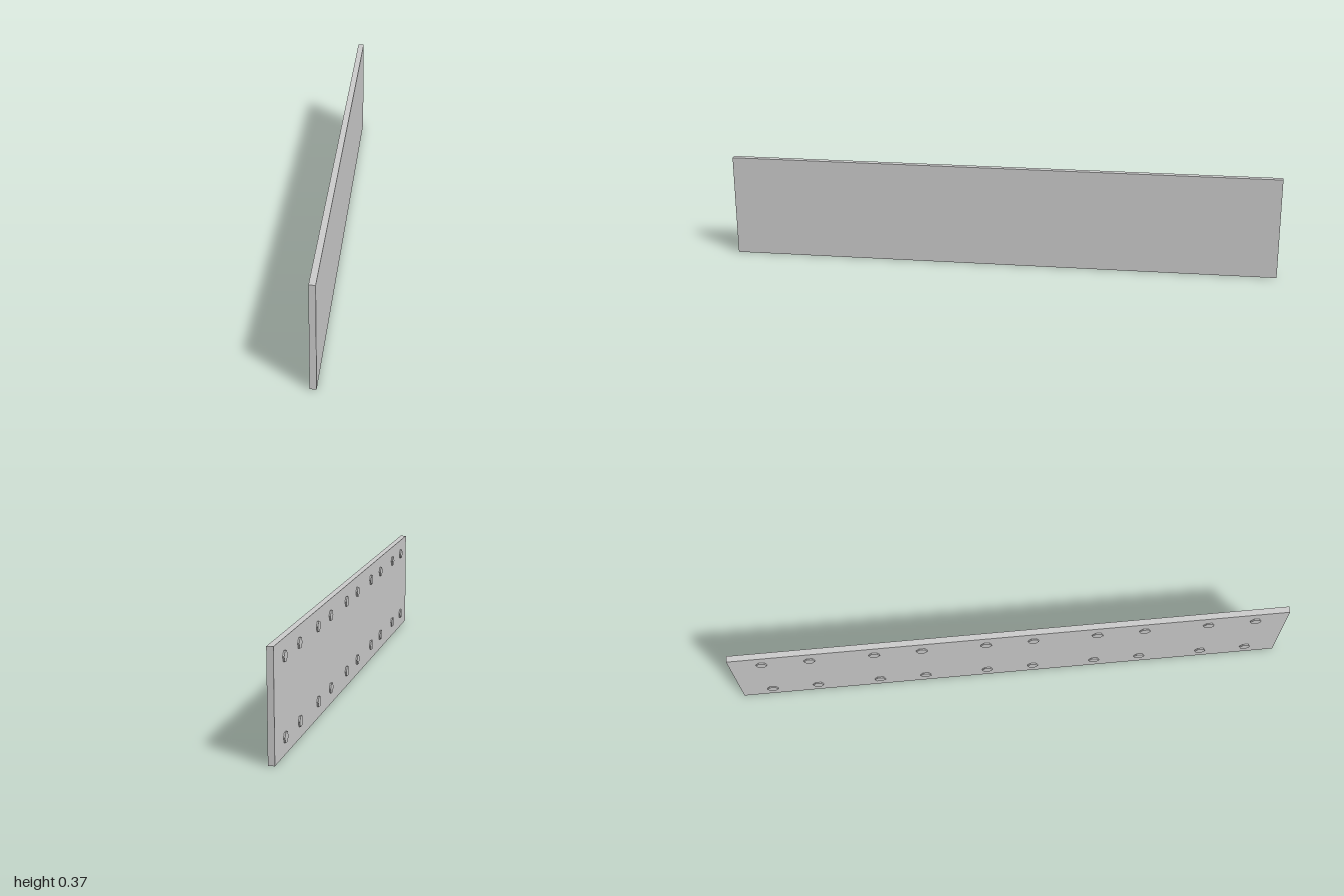
import * as THREE from 'three';

export function createModel() {
  const model = new THREE.Group();
  model.name = 'boltedPlate';
  const material = new THREE.MeshStandardMaterial({ color: 0xcccccc, flatShading: true });

  // Flat upright plate
  const height = 0.372, thickness = 0.022, backX = -0.009;
  const plate = new THREE.Mesh(new THREE.BoxGeometry(thickness, height, 2), material);
  plate.name = 'plate';
  plate.position.set(backX + thickness / 2, height / 2, 0);
  model.add(plate);

  // Hexagonal bolt heads on the -x face: two rows of five pairs
  const headDepth = 0.005, sunk = 0.001;
  const headGeometry = new THREE.CylinderGeometry(
    0.02, 0.02, headDepth + sunk, 6, 1, false, THREE.MathUtils.degToRad(-7));
  headGeometry.rotateZ(Math.PI / 2);
  const bolts = new THREE.Group();
  bolts.name = 'boltHeads';
  for (const y of [0.057, 0.315]) {
    for (let pair = -2; pair <= 2; pair++) {
      for (const side of [-1, 1]) {
        const head = new THREE.Mesh(headGeometry, material);
        head.name = 'boltHead';
        head.position.set(backX - (headDepth - sunk) / 2, y, pair * 0.4 + side * 0.085);
        bolts.add(head);
      }
    }
  }
  model.add(bolts);
  return model;
}
